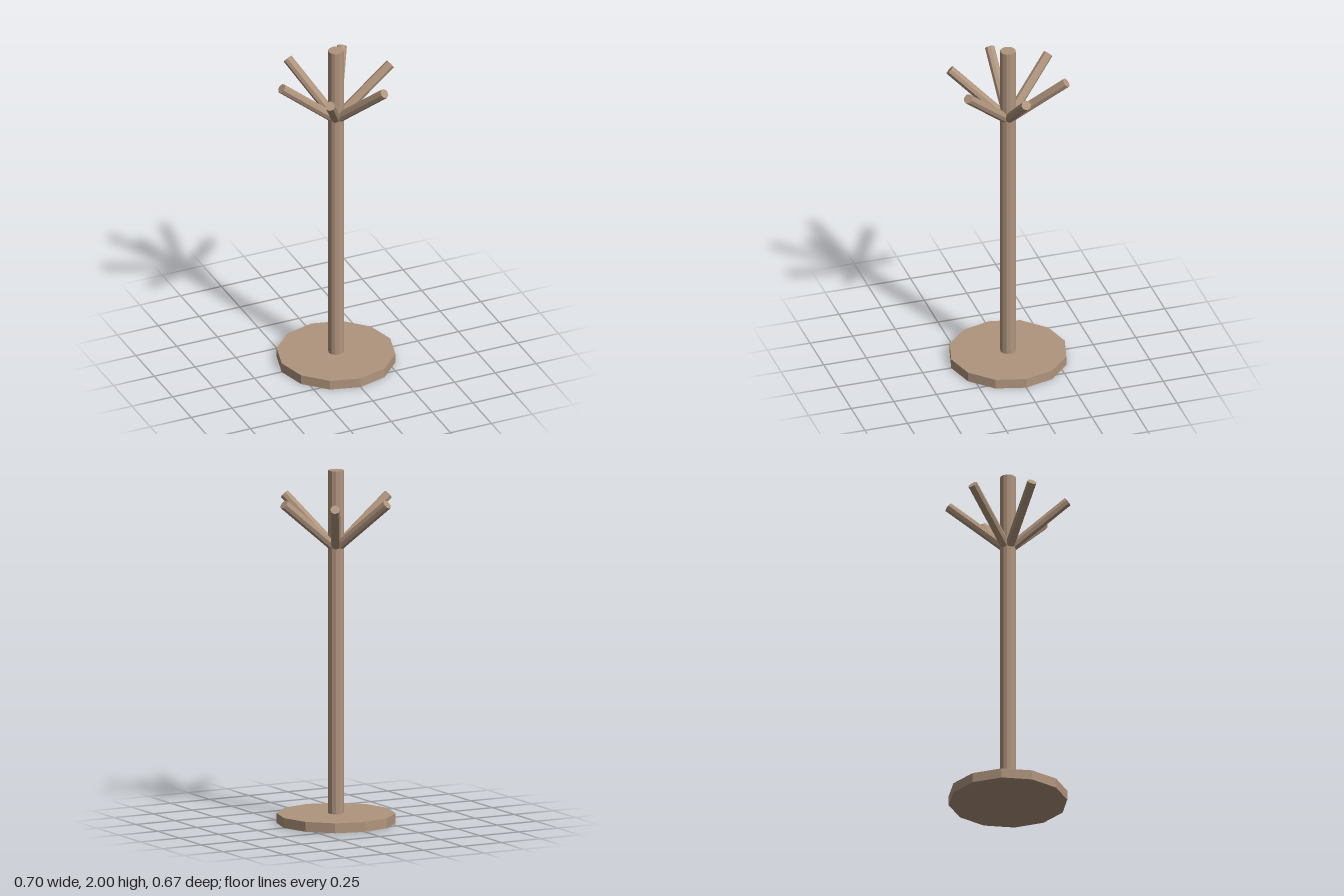
import * as THREE from 'three';

export function createModel() {
  const model = new THREE.Group();
  model.name = 'coatStand';

  const wood = new THREE.MeshStandardMaterial({ color: 0xb0957e, flatShading: true });
  wood.name = 'light brown wood';

  // Upright cylinder standing on height y
  const addCylinder = (name, radius, height, sides, y, parent) => {
    const geometry = new THREE.CylinderGeometry(radius, radius, height, sides);
    geometry.translate(0, height / 2, 0);
    const mesh = new THREE.Mesh(geometry, wood);
    mesh.name = name;
    mesh.position.y = y;
    parent.add(mesh);
    return mesh;
  };

  // Twelve-sided foot and the tall pole
  addCylinder('base', 0.333, 0.056, 12, 0, model);
  addCylinder('pole', 0.0444, 1.944, 12, 0.056, model);

  // Six pegs rising outward from the pole's axis
  const reach = 0.333, rise = 0.278;
  for (let i = 0; i < 6; i++) {
    const arm = new THREE.Group();
    arm.name = `arm${i + 1}`;
    arm.rotation.y = (i * Math.PI) / 3;
    const peg = addCylinder('peg', 0.0278, Math.hypot(reach, rise), 8, 1.556, arm);
    peg.rotation.z = -Math.atan2(reach, rise);
    model.add(arm);
  }

  return model;
}
